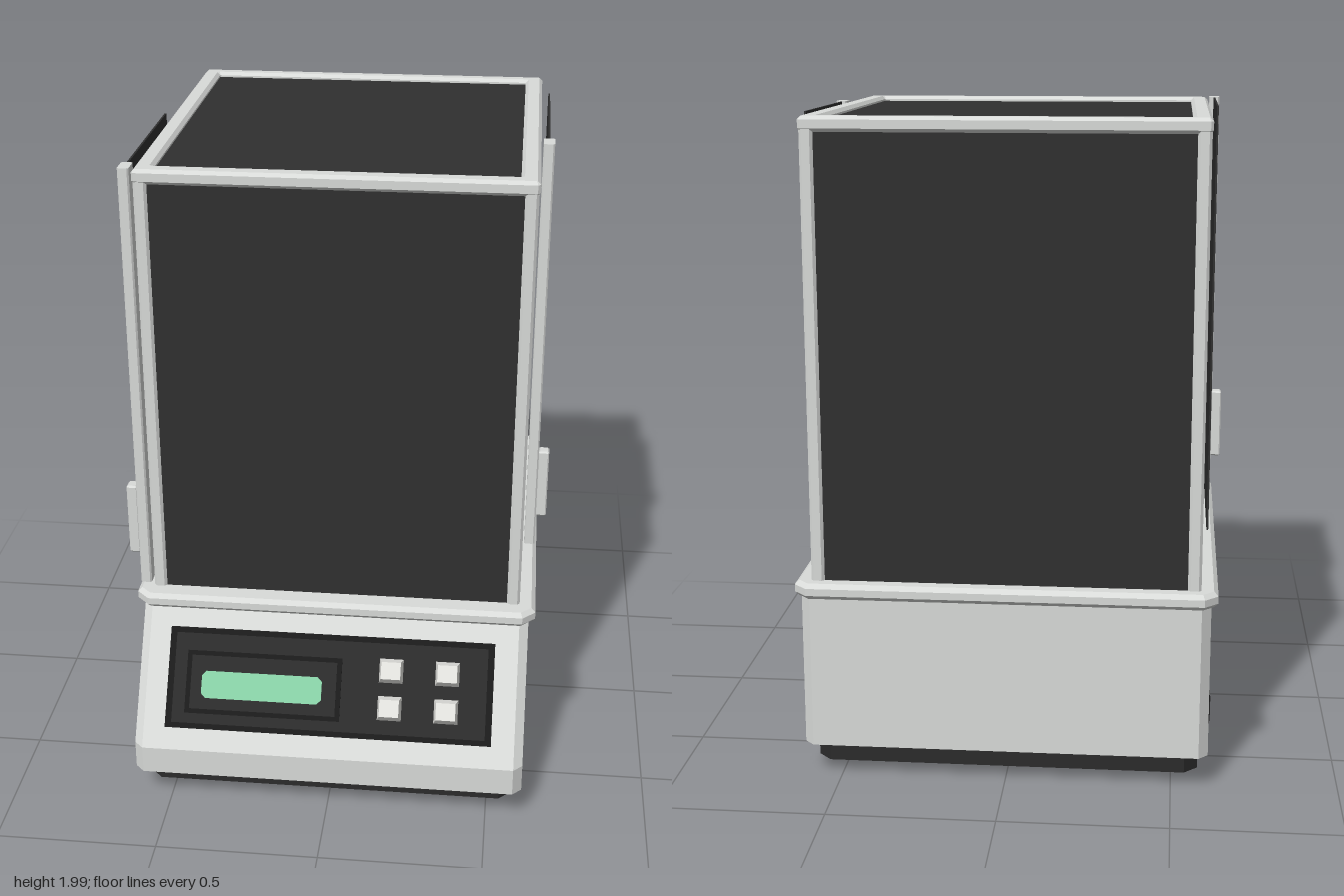
import * as THREE from 'three';

const mat = (name, color) => {
  const m = new THREE.MeshStandardMaterial({ color });
  m.name = name;
  return m;
};

export function createModel() {
  const model = new THREE.Group();
  model.name = 'analyticalBalance';
  const grey = mat('lightGrey', 0xd9dbd9);
  const glass = mat('darkGlass', 0x303030);
  const dark = mat('darkPlastic', 0x2b2b2b);
  const black = mat('black', 0x1a1a1a);
  const green = mat('displayGreen', 0x88d0a6);
  const key = mat('keyWhite', 0xe2e2de);

  const add = (name, geo, material, parent = model) => {
    const mesh = new THREE.Mesh(geo, material);
    mesh.name = name;
    parent.add(mesh);
    return mesh;
  };
  // Box given by its limits on each axis
  const box = (name, [x0, x1], [y0, y1], [z0, z1], material, parent) => {
    const mesh = add(name, new THREE.BoxGeometry(x1 - x0, y1 - y0, z1 - z0), material, parent);
    mesh.position.set((x0 + x1) / 2, (y0 + y1) / 2, (z0 + z1) / 2);
    return mesh;
  };
  // Rectangle with cut corners
  const cutRect = (x0, x1, y0, y1, c) => new THREE.Shape([
    [x0 + c, y0], [x1 - c, y0], [x1, y0 + c], [x1, y1 - c],
    [x1 - c, y1], [x0 + c, y1], [x0, y1 - c], [x0, y0 + c],
  ].map(([x, y]) => new THREE.Vector2(x, y)));
  // Upright prism from a plan shape, with optional bevelled top and bottom edges
  const prism = (shape, y0, y1, b = 0, steps = 1) => {
    const geo = new THREE.ExtrudeGeometry(shape, {
      depth: y1 - y0 - 2 * b, steps, bevelEnabled: b > 0,
      bevelThickness: b, bevelSize: b, bevelOffset: -b, bevelSegments: 1,
    });
    return geo.rotateX(-Math.PI / 2).translate(0, y0 + b, 0);
  };
  const plan = (x0, x1, z0, z1, c) => cutRect(x0, x1, -z1, -z0, c);

  // Housing: a cut-corner prism whose upper front edge leans back
  const housing = prism(plan(-0.61, 0.61, -0.755, 0.768, 0.028), 0, 1, 0, 2);
  const p = housing.attributes.position;
  for (let i = 0; i < p.count; i++) {
    const level = Math.round(p.getY(i) * 2);
    p.setY(i, [0.105, 0.195, 0.58][level]);
    if (level === 2 && p.getZ(i) > 0) p.setZ(i, p.getZ(i) - 0.258);
  }
  housing.computeVertexNormals();
  add('housing', housing, grey);
  add('housingRim', prism(plan(-0.63, 0.63, -0.768, 0.545, 0.04), 0.572, 0.62, 0.013), grey);

  // Underside and feet
  add('basePlate', prism(plan(-0.58, 0.58, -0.71, 0.705, 0.04), 0.038, 0.106), dark);
  for (const x of [-0.45, 0.45]) for (const z of [-0.575, 0.565]) {
    add('foot', new THREE.CylinderGeometry(0.055, 0.052, 0.04, 12), black).position.set(x, 0.02, z);
  }

  // Sockets on both sides
  for (const s of [-1, 1]) {
    const socket = new THREE.Group();
    socket.name = 'socket';
    socket.position.set(s * 0.61, 0.223, -0.608);
    model.add(socket);
    add('socketFrame', new THREE.BoxGeometry(0.008, 0.094, 0.094), black, socket);
    add('socketInset', new THREE.BoxGeometry(0.012, 0.056, 0.056), dark, socket);
  }

  // Control panel on the sloped front
  const panel = new THREE.Group();
  panel.name = 'controlPanel';
  panel.position.set(0, 0.385, 0.641);
  panel.rotation.x = -Math.atan2(0.258, 0.385);
  model.add(panel);
  const plate = (name, x0, x1, y0, y1, top, material) => {
    const toLocal = (y) => (y - 0.385) / 0.831;
    return box(name, [x0, x1], [toLocal(y0), toLocal(y1)], [top - 0.008, top], material, panel);
  };
  plate('panelBorder', -0.515, 0.51, 0.252, 0.515, 0.003, black);
  plate('panelFace', -0.495, 0.49, 0.266, 0.5, 0.005, dark);
  plate('displayBezel', -0.455, 0.035, 0.292, 0.455, 0.009, black);
  plate('displayInset', -0.44, 0.02, 0.304, 0.443, 0.011, dark);
  const screen = new THREE.ExtrudeGeometry(cutRect(-0.405, -0.025, -0.063, 0.022, 0.014),
    { depth: 0.005, bevelEnabled: false });
  add('displayScreen', screen, green, panel).position.z = 0.009;
  // Tapered keys
  const keyGeo = new THREE.BoxGeometry(0.076, 0.076, 0.03);
  const kp = keyGeo.attributes.position;
  for (let i = 0; i < kp.count; i++) {
    if (kp.getZ(i) > 0) kp.setXY(i, kp.getX(i) * 0.8, kp.getY(i) * 0.7);
  }
  keyGeo.computeVertexNormals();
  for (const x of [0.19, 0.366]) for (const y of [-0.062, 0.054]) {
    add('key', keyGeo, key, panel).position.set(x, y, 0.018);
  }

  // Chamber floor and weighing pan
  box('chamberFloor', [-0.57, 0.57], [0.612, 0.624], [-0.715, 0.475], dark);
  add('panRing', new THREE.CylinderGeometry(0.3, 0.32, 0.012, 40), black).position.set(0, 0.629, -0.12);
  add('pan', new THREE.CylinderGeometry(0.26, 0.25, 0.016, 40), key).position.set(0, 0.638, -0.12);

  // Chamber frame: corner posts and top ring
  for (const x of [-1, 1]) for (const [z0, z1] of [[-0.728, -0.69], [0.43, 0.485]]) {
    const [x0, x1] = x < 0 ? [-0.58, -0.54] : [0.54, 0.58];
    add('cornerPost', prism(plan(x0, x1, z0, z1, 0.008), 0.615, 1.96), grey);
  }
  const ring = plan(-0.583, 0.583, -0.73, 0.487, 0.008);
  ring.holes.push(plan(-0.527, 0.527, -0.682, 0.432, 0.001));
  add('topFrame', prism(ring, 1.945, 1.99, 0.01), grey);

  // Fixed glass panes
  box('frontGlass', [-0.545, 0.545], [0.615, 1.95], [0.469, 0.477], glass);
  box('backGlass', [-0.545, 0.545], [0.615, 1.95], [-0.72, -0.712], glass);
  box('topGlass', [-0.53, 0.53], [1.966, 1.974], [-0.685, 0.435], glass);
  for (const x of [-0.568, 0.568]) {
    box('rearSideGlass', [x - 0.004, x + 0.004], [0.615, 1.95], [-0.695, -0.1], glass);
  }

  // Sliding side doors: the -x one closed, the +x one slid back
  for (const [s, z] of [[-1, 0.452], [1, 0.077]]) {
    const door = new THREE.Group();
    door.name = 'slidingDoor';
    door.position.set(s * 0.606, 0, z);
    model.add(door);
    box('doorGlass', [-0.003, 0.003], [0.625, 1.99], [-0.58, -0.03], glass, door);
    add('doorBar', prism(plan(-0.017, 0.017, -0.032, 0.032, 0.005), 0.63, 1.992), grey, door);
    const handle = add('doorHandle', prism(plan(-0.017, 0.017, -0.021, 0.021, 0.004), 0.73, 0.965, 0.005), grey, door);
    handle.position.x = s * 0.033;
  }
  return model;
}
